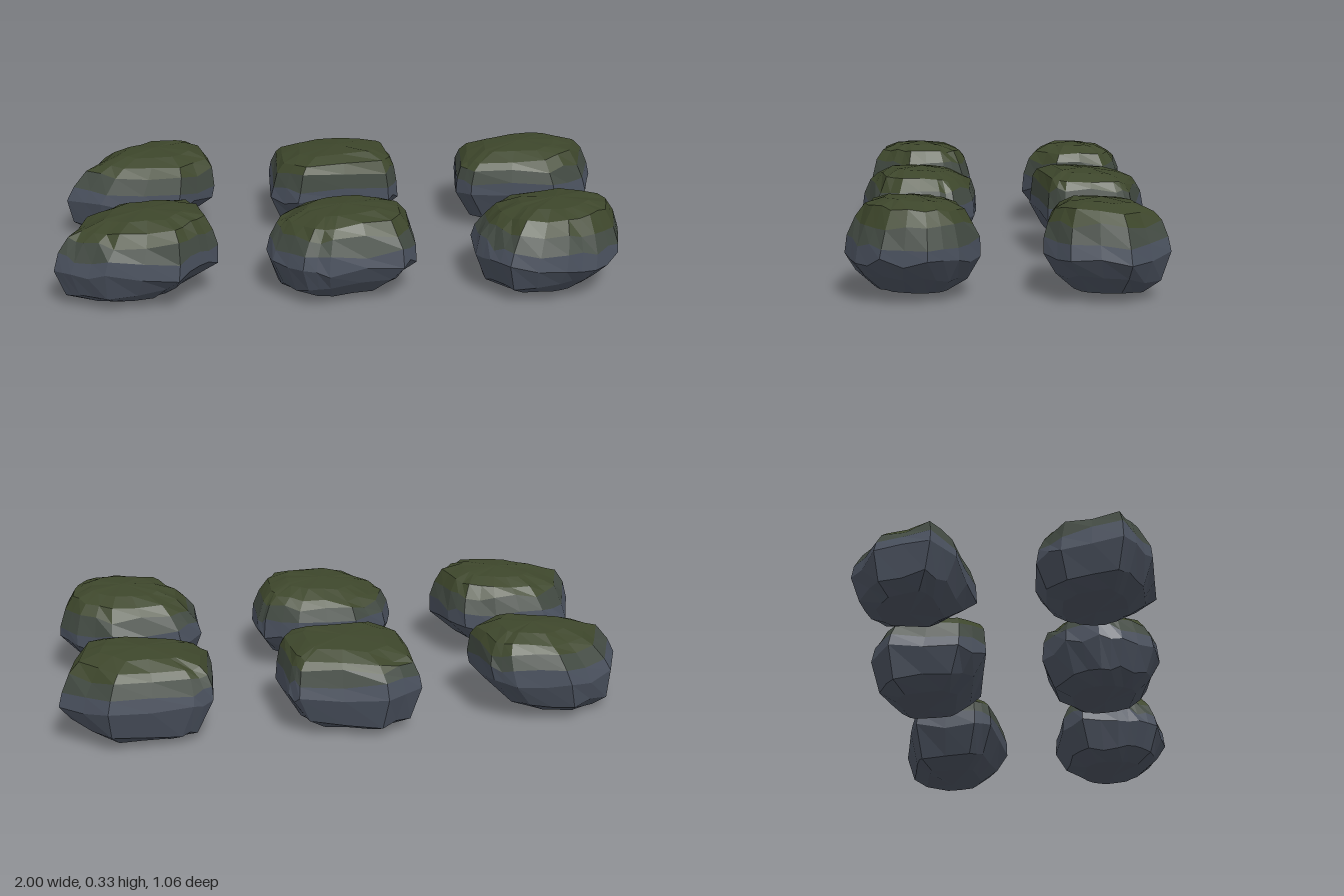
import * as THREE from 'three';

// Plan outline (x, z) at the widest level, clockwise from above;
// lean = [x, z] drift of the crown, tilt = [x, z] slope of crown and base, flat = crown width
const ROCKS = [
  { name: 'backRightRock', lean: [0.065, 0.0], tilt: [0.05, 0.02], top: 0.318, flat: 0.68,
    plan: [-1, -.21, -.93, -.40, -.76, -.50, -.57, -.48, -.50, -.43, -.46, -.22, -.59, -.10, -.87, -.14] },
  { name: 'backMiddleRock', lean: [0.01, 0.015], tilt: [0.05, 0.07], top: 0.312, flat: 0.77,
    plan: [-.24, -.20, -.24, -.45, -.11, -.53, .19, -.47, .22, -.42, .24, -.22, .20, -.16, -.14, -.11] },
  { name: 'backLeftRock', lean: [-0.02, 0.01], tilt: [0.09, 0.04], top: 0.315, flat: 0.72,
    plan: [.46, -.21, .48, -.44, .55, -.47, .84, -.52, 1, -.38, .95, -.19, .82, -.11, .51, -.15] },
  { name: 'frontRightRock', lean: [0.035, 0.0], tilt: [0.08, 0.03], top: 0.32, flat: 0.69,
    plan: [-1, .40, -.94, .20, -.84, .115, -.65, .10, -.53, .13, -.48, .20, -.44, .35, -.50, .42, -.57, .50, -.82, .49, -.94, .44] },
  { name: 'frontMiddleRock', lean: [0.01, -0.01], tilt: [0.07, 0.07], top: 0.318, flat: 0.69,
    plan: [-.27, .30, -.23, .18, -.11, .09, .11, .10, .23, .17, .25, .22, .25, .38, .20, .46, -.06, .51, -.15, .49, -.25, .38] },
  { name: 'frontLeftRock', lean: [0.02, -0.01], tilt: [0.08, 0.06], top: 0.328, flat: 0.67,
    plan: [.46, .35, .46, .21, .54, .13, .79, .09, .92, .16, .98, .26, .95, .41, .86, .49, .75, .53, .56, .50, .50, .43] },
];

function seeded(seed) {
  return () => {
    seed = (seed * 16807) % 2147483647;
    return seed / 2147483647;
  };
}

// Outline points with the middle of every edge added
function outline(plan) {
  const points = [];
  for (let i = 0; i < plan.length; i += 2) {
    const x = plan[i], z = plan[i + 1];
    const nx = plan[(i + 2) % plan.length], nz = plan[(i + 3) % plan.length];
    points.push([x, z], [(x + nx) / 2, (z + nz) / 2]);
  }
  return points;
}

function buildRock(spec, seed, materials) {
  const random = seeded(seed);
  const points = outline(spec.plan);
  const n = points.length;
  const xs = points.map((p) => p[0]), zs = points.map((p) => p[1]);
  const cx = (Math.min(...xs) + Math.max(...xs)) / 2;
  const cz = (Math.min(...zs) + Math.max(...zs)) / 2;

  // Levels from base to crown: height, scale, height wobble, share of the tilt
  const levels = [
    [0.017, 0.54, 0.003, 0.9],
    [0.06, 0.82, 0.01, 1.3],
    [0.142, 1.0, 0.016, 0],
    [0.195, 0.97, 0.014, 0],
    [0.25, (spec.flat + 1.06) / 2, 0.012, 0.2],
    [spec.top - 0.034, spec.flat + 0.06, 0.006, 0.9],
    [spec.top - 0.01, spec.flat - 0.2, 0.003, 0.9],
  ];
  const rings = levels.map(([y, s, wobble, tilted], k) => points.map(([x, z]) => {
    const drift = (y - 0.142) / 0.18;
    const scale = k === 2 ? 1 : s + (random() - 0.5) * 0.016;
    const dx = (x - cx) * scale, dz = (z - cz) * scale;
    const slope = (dx * spec.tilt[0] + dz * spec.tilt[1]) * tilted;
    return [
      cx + dx + spec.lean[0] * drift,
      Math.max(0.002, y + slope + (random() - 0.5) * 2 * wobble),
      cz + dz + spec.lean[1] * drift,
    ];
  }));

  const wall = (out, from, to) => {
    for (let k = from; k < to; k++) {
      for (let i = 0; i < n; i++) {
        const j = (i + 1) % n;
        const a = rings[k][i], b = rings[k][j], c = rings[k + 1][i], d = rings[k + 1][j];
        out.push(...a, ...c, ...d, ...a, ...d, ...b);
      }
    }
  };
  const cap = (out, ring, y, drift, up) => {
    const centre = [cx + spec.lean[0] * drift, y, cz + spec.lean[1] * drift];
    for (let i = 0; i < n; i++) {
      const a = ring[i], b = ring[(i + 1) % n];
      out.push(...centre, ...(up ? b : a), ...(up ? a : b));
    }
  };

  const stone = [], fringe = [], moss = [];
  cap(stone, rings[0], 0, -0.75, false);
  wall(stone, 0, 3);
  wall(fringe, 3, 4);
  wall(moss, 4, 6);
  cap(moss, rings[6], spec.top, 1, true);

  const group = new THREE.Group();
  group.name = spec.name;
  for (const [name, data] of Object.entries({ stone, fringe, moss })) {
    const geometry = new THREE.BufferGeometry();
    geometry.setAttribute('position', new THREE.Float32BufferAttribute(data, 3));
    geometry.computeVertexNormals();
    const mesh = new THREE.Mesh(geometry, materials[name]);
    mesh.name = { stone: 'stoneBase', fringe: 'mossFringe', moss: 'mossCap' }[name];
    group.add(mesh);
  }
  return group;
}

export function createModel() {
  const material = (name, color) => {
    const m = new THREE.MeshStandardMaterial({ color });
    m.name = name;
    return m;
  };
  const materials = {
    stone: material('slate stone', 0x4a515e),
    fringe: material('mossy stone', 0x424a42),
    moss: material('moss', 0x3d462b),
  };
  const model = new THREE.Group();
  model.name = 'mossyRocks';
  ROCKS.forEach((spec, i) => model.add(buildRock(spec, 101 + i * 977, materials)));
  return model;
}
